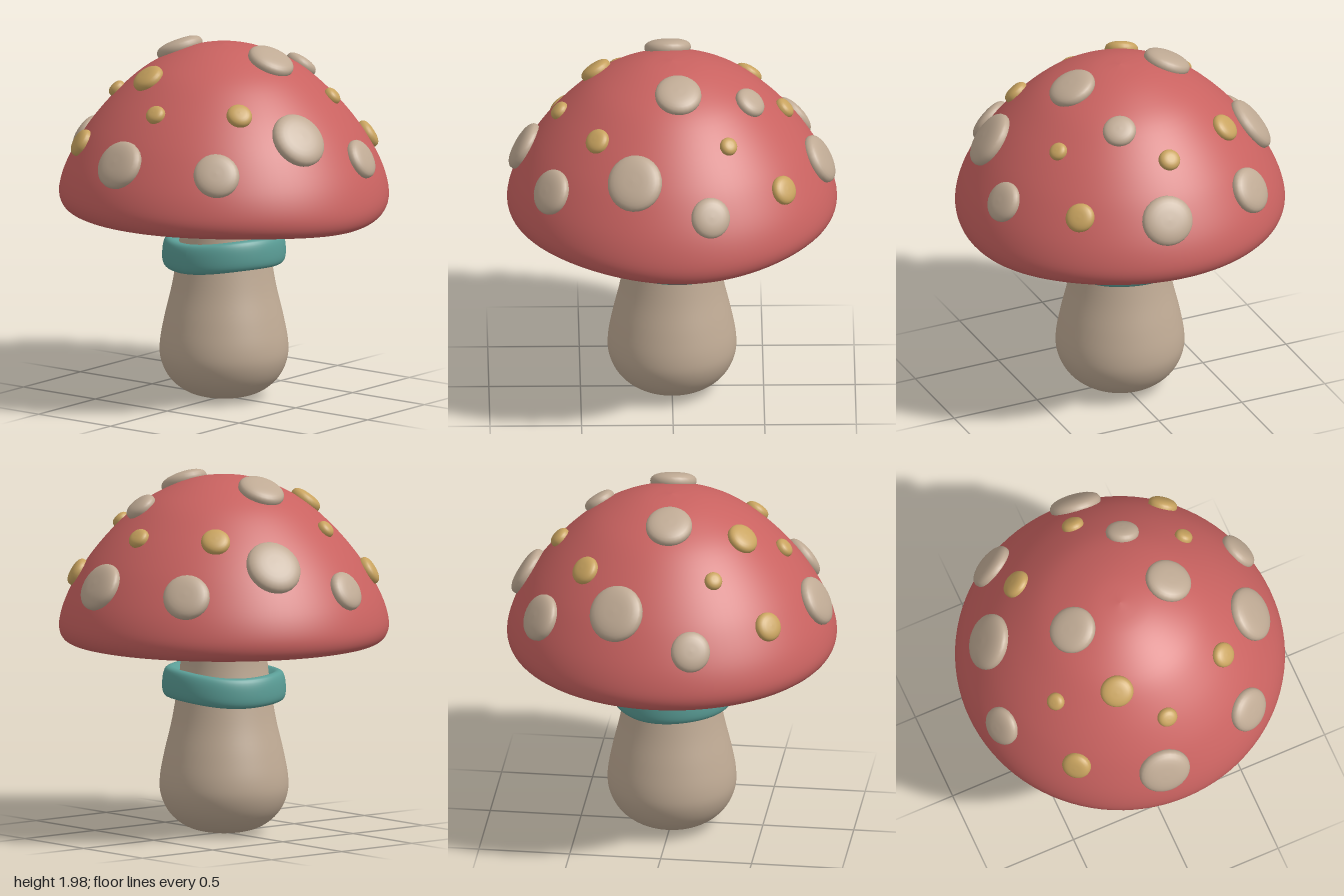
import * as THREE from 'three';

const material = (name, color, side = THREE.FrontSide) => {
  const m = new THREE.MeshStandardMaterial({ color, side });
  m.name = name;
  return m;
};
const red = material('cap red', 0xc96260);
const cream = material('cream', 0xbfaa94);
const ochre = material('ochre', 0xc8a35f, THREE.DoubleSide);
const teal = material('teal', 0x5a9d96);

const vectors = (list) => list.map(([x, y]) => new THREE.Vector2(x, y));
const smoothLathe = (list, divisions, segments) =>
  new THREE.LatheGeometry(new THREE.SplineCurve(vectors(list)).getPoints(divisions), segments);

// Outer slope of the cap, from the rim up to the crown
const dome = [
  [0.9, 1.17], [0.87, 1.28], [0.805, 1.41], [0.72, 1.54], [0.6, 1.68],
  [0.45, 1.815], [0.3, 1.9], [0.15, 1.952], [0, 1.97],
];
// Underside and rolled rim
const under = [[0.2, 1.13], [0.5, 1.13], [0.68, 1.12], [0.73, 1.075], [0.79, 1.057], [0.85, 1.06], [0.89, 1.1]];

// Rim droops a little on the left side
const droop = (x, y, z) => {
  const r = Math.hypot(x, z);
  const side = Math.max(0, Math.cos(Math.atan2(z, x) + 0.12)) ** 5;
  return 0.04 * side * THREE.MathUtils.smoothstep(r, 0.65, 0.85) * (1 - THREE.MathUtils.smoothstep(y, 1.1, 1.35));
};

function makeCap() {
  const g = smoothLathe([...under, ...dome], 64, 96);
  const p = g.attributes.position;
  for (let i = 0; i < p.count; i++) {
    const x = p.getX(i), y = p.getY(i), z = p.getZ(i);
    p.setY(i, y - droop(x, y, z));
  }
  return g;
}

// Pleated ring of gills beneath the cap
function makeGills() {
  const g = new THREE.PlaneGeometry(1, 1, 560, 10);
  const p = g.attributes.position;
  for (let i = 0; i < p.count; i++) {
    const u = p.getX(i) + 0.5, t = p.getY(i) + 0.5;
    const a = -u * Math.PI * 2 + 0.12 * Math.sin(t * Math.PI);
    const r = 0.21 + 0.53 * t;
    const fold = Math.abs(Math.cos(u * Math.PI * 70));
    const fade = Math.min(1, (1 - t) * 5);
    p.setXYZ(i, r * Math.cos(a), 1.09 - 0.05 * fold * fade - 0.015 * (1 - fade), r * Math.sin(a));
  }
  g.computeVertexNormals();
  return g;
}

// Collar band with slightly uneven edges
function makeCollar() {
  const g = smoothLathe([
    [0.24, 0.76], [0.28, 0.74], [0.32, 0.745], [0.337, 0.78], [0.335, 0.85],
    [0.32, 0.895], [0.29, 0.905], [0.26, 0.89], [0.23, 0.87],
  ], 32, 64);
  const p = g.attributes.position;
  for (let i = 0; i < p.count; i++) {
    const a = Math.atan2(p.getZ(i), p.getX(i));
    p.setY(i, p.getY(i) + 0.018 * Math.cos(a) - 0.004 * Math.sin(a) + 0.006 * Math.sin(3 * a));
  }
  g.computeVertexNormals();
  return g;
}

// Puffy pebble of unit radius, squarer than an ellipsoid
function makePebble() {
  const pts = [];
  for (let i = 0; i <= 14; i++) {
    const a = -Math.PI / 2 + (Math.PI * i) / 14;
    const c = Math.max(0, Math.cos(a)), s = Math.sin(a);
    pts.push(new THREE.Vector2(i === 0 || i === 14 ? 0 : c ** 0.75, Math.sign(s) * Math.abs(s) ** 0.85));
  }
  return new THREE.LatheGeometry(pts, 28);
}

// Height and slope of the dome at a given radius
const domeCurve = new THREE.SplineCurve(vectors(dome));
function domeAt(r) {
  let lo = 0, hi = 1;
  for (let i = 0; i < 30; i++) {
    const mid = (lo + hi) / 2;
    if (domeCurve.getPoint(mid).x > r) lo = mid; else hi = mid;
  }
  const tan = domeCurve.getTangent(lo);
  return { y: domeCurve.getPoint(lo).y, nr: tan.y, ny: -tan.x };
}

// Spots as [x, z, radius]
const creamSpots = [
  [0.09, -0.8, 0.14], [-0.47, -0.66, 0.13], [0.2, -0.42, 0.09], [-0.68, -0.22, 0.155],
  [0.79, -0.2, 0.11], [-0.29, 0.02, 0.13], [0.3, -0.03, 0.13], [-0.79, 0.2, 0.11],
  [0.68, 0.21, 0.155], [0.47, 0.66, 0.125], [-0.09, 0.8, 0.14],
];
const ochreSpots = [
  [-0.01, -0.61, 0.06], [0.52, -0.6, 0.08], [-0.43, -0.42, 0.08], [0.51, -0.3, 0.05],
  [-0.51, 0.29, 0.05], [-0.2, 0.41, 0.09], [0.43, 0.41, 0.07], [0.01, 0.61, 0.055],
  [-0.52, 0.59, 0.08],
];

function makeSpots(name, list, mat, pebble) {
  const group = new THREE.Group();
  group.name = name;
  const up = new THREE.Vector3(0, 1, 0);
  list.forEach(([x, z, size], i) => {
    const r = Math.hypot(x, z);
    const { y, nr, ny } = domeAt(r);
    const normal = new THREE.Vector3((nr * x) / r, ny, (nr * z) / r).normalize();
    const spot = new THREE.Mesh(pebble, mat);
    spot.name = `${name}${i + 1}`;
    spot.position.set(x, y, z).addScaledVector(normal, 0.005);
    spot.quaternion.setFromUnitVectors(up, normal);
    spot.scale.set(size * 1.02, 0.025 + size * 0.18, size * 0.98);
    group.add(spot);
  });
  return group;
}

export function createModel() {
  const model = new THREE.Group();
  model.name = 'mushroom';
  const add = (name, geometry, mat) => {
    const mesh = new THREE.Mesh(geometry, mat);
    mesh.name = name;
    model.add(mesh);
  };

  // Bulbous stem
  add('stem', smoothLathe([
    [0, 0], [0.12, 0.01], [0.22, 0.045], [0.3, 0.115], [0.345, 0.21], [0.35, 0.31],
    [0.325, 0.45], [0.285, 0.62], [0.255, 0.8], [0.237, 0.95], [0.232, 1.13],
  ], 48, 64), cream);
  add('collar', makeCollar(), teal);
  add('gills', makeGills(), ochre);
  add('cap', makeCap(), red);

  // Raised spots on the cap
  const pebble = makePebble();
  model.add(makeSpots('creamSpot', creamSpots, cream, pebble));
  model.add(makeSpots('ochreSpot', ochreSpots, ochre, pebble));
  return model;
}
